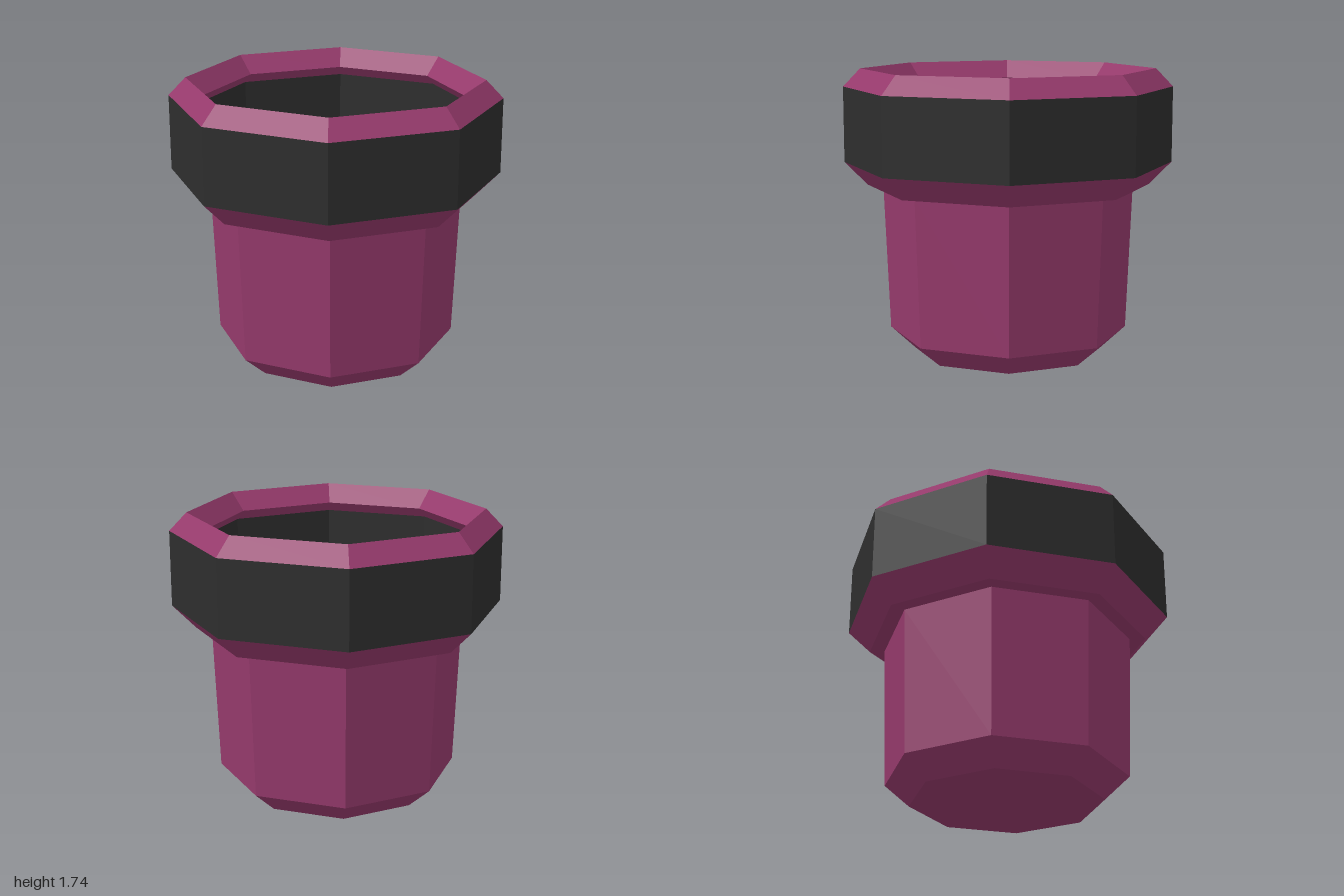
import * as THREE from 'three';

const SIDES = 8;

// Faceted octagonal surface of revolution from [radius, height] points
function ring(name, profile, material) {
  const points = profile.map(([r, y]) => new THREE.Vector2(r, y));
  const geometry = new THREE.LatheGeometry(points, SIDES).toNonIndexed();
  geometry.computeVertexNormals();
  const mesh = new THREE.Mesh(geometry, material);
  mesh.name = name;
  return mesh;
}

export function createModel() {
  const plum = new THREE.MeshStandardMaterial({ color: 0x963a6c });
  plum.name = 'plum';
  const charcoal = new THREE.MeshStandardMaterial({ color: 0x2e2e2e });
  charcoal.name = 'charcoal';

  const model = new THREE.Group();
  model.name = 'flowerPot';

  model.add(
    // Tapered body with a chamfered foot
    ring('potBody', [[0, 0], [0.58, 0], [0.73, 0.135], [0.765, 1.03]], plum),
    // Flared underside of the collar
    ring('collarBase', [[0.765, 1.03], [0.86, 1.03], [1, 1.17]], plum),
    // Dark band, outside and inside
    ring('outerBand', [[1, 1.17], [1, 1.63]], charcoal),
    ring('innerBand', [[0.85, 1.57], [0.85, 1.23]], charcoal),
    // Peaked rim with an undercut inner lip
    ring('rim', [[1, 1.63], [0.895, 1.74], [0.795, 1.63], [0.85, 1.57]], plum),
    // Ledge inside the collar
    ring('ledge', [[0.85, 1.23], [0.795, 1.17], [0.68, 1.17]], plum),
    // Hollow with a chamfered floor
    ring('hollow', [[0.68, 1.17], [0.59, 0.21], [0.52, 0.14], [0, 0.14]], plum),
  );
  return model;
}
